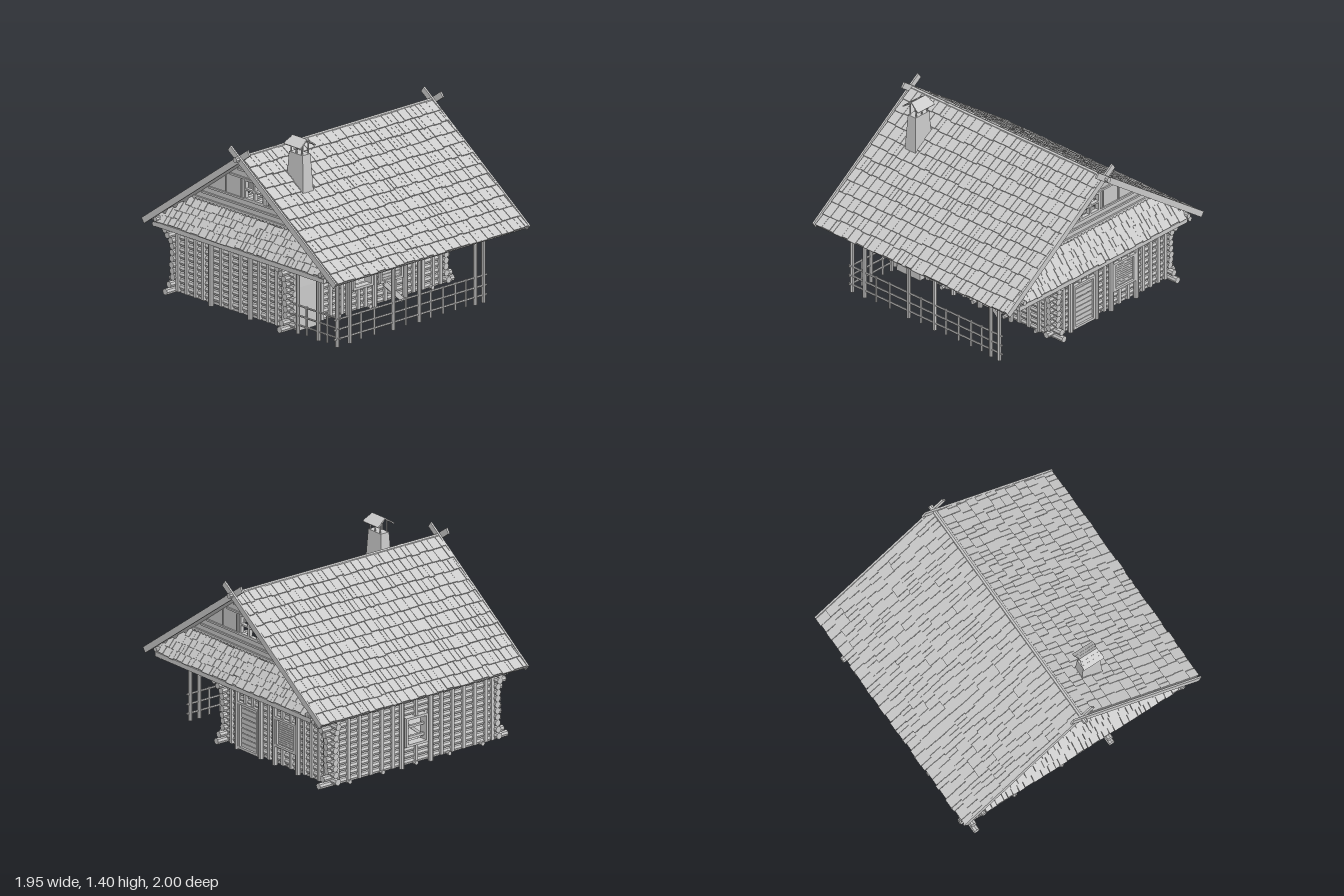
import * as THREE from 'three';
import { mergeGeometries } from 'three/addons/utils/BufferGeometryUtils.js';

const material = new THREE.MeshStandardMaterial({ color: 0xcccccc, flatShading: true, side: THREE.DoubleSide });
const V = (x, y, z) => new THREE.Vector3(x, y, z);
let seed = 7;
const rand = (a, b) => {
  seed = (seed * 16807) % 2147483647;
  return a + (b - a) * seed / 2147483647;
};

// Merge a list of geometries into one named mesh
function part(parent, name, geometries) {
  const list = geometries.map(g => (g.index ? g.toNonIndexed() : g));
  const mesh = new THREE.Mesh(mergeGeometries(list), material);
  mesh.name = name;
  parent.add(mesh);
  return mesh;
}
const box = (w, h, d, x, y, z) => new THREE.BoxGeometry(w, h, d).translate(x, y, z);
// Round pole between two points
function pole(a, b, r, sides = 8) {
  const d = b.clone().sub(a), len = d.length();
  const q = new THREE.Quaternion().setFromUnitVectors(V(0, 1, 0), d.normalize());
  return new THREE.CylinderGeometry(r, r, len, sides).translate(0, len / 2, 0).applyQuaternion(q).translate(a.x, a.y, a.z);
}
// Flat polygon in xy with thickness along z
function plate(points, depth, holes = []) {
  const s = new THREE.Shape(points.map(p => new THREE.Vector2(...p)));
  for (const [a, b, c, d] of holes) {
    s.holes.push(new THREE.Path([[a, c], [a, d], [b, d], [b, c]].map(p => new THREE.Vector2(...p))));
  }
  return new THREE.ExtrudeGeometry(s, { depth, bevelEnabled: false });
}

// Shingled slope facing local +z, its lower edge at (y, z), rising by "rise" over "run"
function shingledSlope(parent, name, { y, z, rise, run, rows, bottom, top, centre = 0 }) {
  const len = Math.hypot(rise, run), step = len / rows;
  const half = v => bottom + (top - bottom) * v / len;
  const geos = [plate([[-bottom, 0], [bottom, 0], [top, len], [-top, len]], 0.014).translate(centre, 0, -0.014)];
  for (let i = 0; i < rows; i++) {
    const v = i * step, edge = half(v + step * 0.5);
    for (let x = -edge; x < edge - 0.005;) {
      const w = Math.min(rand(0.03, 0.085), edge - x);
      const h = Math.min(step * 1.15, len - v) + rand(0, 0.012);
      geos.push(new THREE.BoxGeometry(w - 0.003, h, 0.009).translate(0, h / 2, 0)
        .rotateX(-0.08).translate(x + w / 2 + centre, v - rand(0, 0.012), 0.014 + rand(0, 0.003)));
      x += w;
    }
  }
  const m = part(parent, name, geos);
  m.position.set(0, y, z);
  m.rotation.x = -Math.atan2(run, rise);
}

// Log wall facing local +z; openings are [u0, u1, y0, y1]
function logWall(name, half, { lift, flare, openings, posts, battens }) {
  const g = new THREE.Group(), logs = [], uprights = [], frames = [];
  g.name = name;
  for (let y = 0.04 + lift; y < 0.56; y += 0.046) {
    const t = y / 0.55;
    const end = half + 0.045 + flare * (0.11 * Math.max(0, (t - 0.72) / 0.28) + 0.09 * Math.max(0, (0.22 - t) / 0.22)) + rand(0, 0.015);
    let spans = [[-end, end]];
    for (const [u0, u1, y0, y1] of openings) {
      if (y > y0 && y < y1) spans = spans.flatMap(([a, b]) => (u0 > a && u1 < b ? [[a, u0], [u1, b]] : [[a, b]]));
    }
    for (const [a, b] of spans) logs.push(pole(V(a, y, 0), V(b, y, 0), 0.0245));
  }
  for (const u of posts) uprights.push(pole(V(u, 0.01, 0.03), V(u, 0.55, 0.03), 0.02));
  for (const u of battens) {
    const cuts = openings.filter(o => u > o[0] && u < o[1]);
    let from = 0.03;
    for (const [, , y0, y1] of cuts) {
      if (y0 - from > 0.03) uprights.push(box(0.026, y0 - from, 0.03, u, (y0 + from) / 2, 0.022));
      from = y1;
    }
    uprights.push(box(0.026, 0.55 - from, 0.03, u, (0.55 + from) / 2, 0.022));
  }
  for (const [a, b, c, d] of openings) {
    for (const y of [c, d]) frames.push(box(b - a + 0.02, 0.018, 0.07, (a + b) / 2, y, 0.01));
    for (const u of [a, b]) frames.push(box(0.018, d - c, 0.07, u, (c + d) / 2, 0.01));
  }
  part(g, 'logs', logs);
  part(g, 'uprights', uprights);
  if (frames.length) part(g, 'openingFrames', frames);
  return g;
}
// Stacked horizontal slats filling an opening
const slats = ([a, b, c, d], n) => Array.from({ length: n }, (_, i) =>
  box(b - a - 0.01, (d - c) / n * 0.88, 0.025, (a + b) / 2, c + (i + 0.5) * (d - c) / n, 0.015).rotateZ(rand(-0.004, 0.004)));

export function createModel() {
  const cabin = new THREE.Group();
  cabin.name = 'logCabin';

  // Floor with joist ends
  part(cabin, 'floor', [
    ...Array.from({ length: 12 }, (_, i) => box(1.48, 0.02, 0.094, 0, 0.03, -0.8 + i * 0.0975)),
    box(1.47, 0.012, 1.15, 0, 0.038, -0.265),
    ...[-0.6, -0.3, 0, 0.3, 0.6].map(x => pole(V(x, 0.03, -0.89), V(x, 0.03, 0.36), 0.016)),
  ]);

  // Four log walls
  const window1 = [-0.15, 0.02, 0.19, 0.375], window2 = [0.11, 0.31, 0.18, 0.375];
  const front = logWall('frontWall', 0.73, { lift: 0, flare: 1, openings: [window1, window2],
    posts: [-0.2, 0.055, 0.35], battens: [-0.45, -0.37, -0.26, -0.1, -0.03, 0.16, 0.25, 0.43, 0.52, 0.62, 0.69] });
  front.position.z = 0.31;
  part(front, 'shutter', slats(window2, 8));
  const back = logWall('backWall', 0.73, { lift: 0, flare: 1, openings: [[-0.08, 0.1, 0.17, 0.37]],
    posts: [-0.12, 0.14], battens: [-0.7, -0.6, -0.5, -0.4, -0.3, -0.2, 0.01, 0.24, 0.34, 0.44, 0.54, 0.64, 0.7] });
  back.position.z = -0.84;
  back.rotation.y = Math.PI;
  part(back, 'windowBars', [box(0.16, 0.02, 0.02, 0.01, 0.22, 0.01), box(0.16, 0.016, 0.02, 0.01, 0.3, 0.01),
    box(0.02, 0.21, 0.015, 0, 0, 0).rotateZ(0.9).translate(0.01, 0.27, 0)]);
  const door = [-0.4, -0.2, 0.03, 0.365], sideWindow = [0.01, 0.215, 0.165, 0.37];
  const right = logWall('leftSideWall', 0.575, { lift: 0.023, flare: 0.4, openings: [door, sideWindow],
    posts: [-0.43, -0.17, -0.015, 0.24], battens: [-0.5, -0.34, -0.26, -0.08, 0.07, 0.16, 0.31, 0.39, 0.47, 0.54] });
  right.position.set(0.73, 0, -0.265);
  right.rotation.y = Math.PI / 2;
  part(right, 'door', slats(door, 9));
  part(right, 'shutter', slats(sideWindow, 13));
  const left = logWall('rightSideWall', 0.575, { lift: 0.023, flare: 0.4, openings: [],
    posts: [-0.2, 0.2], battens: [-0.54, -0.45, -0.36, -0.28, -0.1, 0, 0.1, 0.29, 0.38, 0.47, 0.54] });
  left.position.set(-0.73, 0, -0.265);
  left.rotation.y = -Math.PI / 2;
  cabin.add(front, back, right, left);

  // Main roof slopes
  for (const s of [1, -1]) {
    const slope = new THREE.Group();
    slope.rotation.y = s > 0 ? 0 : Math.PI;
    slope.name = s > 0 ? 'frontRoof' : 'backRoof';
    shingledSlope(slope, 'shingles', { y: 0.555, z: 0.98, rise: 0.7, run: 0.98, rows: 12, bottom: 0.925, top: 0.925, centre: s * 0.01 });
    cabin.add(slope);
  }
  part(cabin, 'ridgePole', [pole(V(-0.97, 1.25, 0), V(0.975, 1.25, 0), 0.02)]);
  part(cabin, 'eaveBeams', [
    pole(V(-0.92, 0.55, 0.81), V(0.93, 0.55, 0.81), 0.018),
    pole(V(-0.92, 0.55, -0.88), V(0.93, 0.55, -0.88), 0.018),
  ]);

  // Gable ends: boarded triangle, small skirt roof, trim and crossed bargeboards
  for (const s of [1, -1]) {
    const end = new THREE.Group();
    end.name = s > 0 ? 'leftGable' : 'rightGable';
    end.rotation.y = s * Math.PI / 2;
    end.position.x = s > 0 ? 0.01 : 0;
    const halfAt = y => (1.245 - y) * 1.4;
    part(end, 'gableWall', [plate([[-halfAt(0.74), 0.74], [halfAt(0.74), 0.74], [0, 1.24]], 0.02,
      [[-0.095, 0.095, 0.9, 1.04], [-0.042, 0.042, 1.14, 1.175]]).translate(0, 0, 0.75)]);
    part(end, 'gableBoards', [
      ...[0.84, 0.89, 1.045, 1.1].map(y => box(2 * halfAt(y + 0.02), 0.014, 0.012, 0, y, 0.775)),
      ...[-0.3, -0.14, 0.14, 0.3].map(x => box(0.008, 0.13, 0.012, x, 0.965, 0.773)),
    ]);
    part(end, 'gableWindow', [
      ...[-0.095, 0, 0.095].map(x => box(0.018, 0.15, 0.03, x, 0.97, 0.77)),
      ...[0.9, 0.97, 1.04].map(y => box(0.2, 0.013, 0.03, 0, y, 0.77)),
      box(0.014, 0.08, 0.03, 0, 1.16, 0.77),
    ]);
    shingledSlope(end, 'skirtRoof', { y: 0.575, z: 0.915, rise: 0.195, run: 0.15, rows: 4, bottom: 0.9, top: 0.63 });
    part(end, 'skirtBeam', [box(1.72, 0.035, 0.03, -0.01, 0.553, 0.905)]);
    const teeth = [[-0.63, 0.8]];
    for (let i = 0; i <= 70; i++) teeth.push([-0.63 + i * 0.018, i % 2 ? 0.772 : 0.786]);
    part(end, 'scallopedTrim', [plate([...teeth, [0.63, 0.8]], 0.012).translate(0, 0, 0.775)]);
    part(end, 'bargeboards', [1, -1].map(m => box(1.32, 0.045, 0.014, 0, 0, 0)
      .rotateZ(-m * Math.atan2(0.76, 1.075)).translate(m * 0.4475, 0.932, 0.926 + m * 0.007)));
    part(end, 'purlinEnds', [-0.84, 0.84].map(x => pole(V(x, 0.6, 0.7), V(x, 0.6, 0.945), 0.018)));
    cabin.add(end);
  }

  // Porch posts and railing along the front and one end
  const porch = new THREE.Group();
  porch.name = 'porch';
  const z = 0.8, x0 = -0.74, x1 = 0.67;
  part(porch, 'posts', [
    ...[x0, -0.62, -0.2, 0.05, 0.59, x1].map(x => pole(V(x, 0.015, z), V(x, 0.55, z), 0.016)),
    pole(V(x0, 0.015, 0.61), V(x0, 0.55, 0.61), 0.016),
    pole(V(x0, 0.015, 0.4), V(x0, 0.55, 0.4), 0.014),
  ]);
  part(porch, 'rails', [0.07, 0.14, 0.215].flatMap(y => [
    pole(V(x0 - 0.03, y, z), V(x1 + 0.03, y, z), 0.008, 6),
    pole(V(x0, y + 0.01, z + 0.03), V(x0, y + 0.01, 0.36), 0.008, 6),
  ]));
  part(porch, 'balusters', [
    ...[-0.51, -0.38, -0.08, 0.16, 0.28, 0.4, 0.5].map(x => pole(V(x, 0.02, z), V(x, 0.225, z), 0.009, 6)),
    ...[0.7, 0.49].map(v => pole(V(x0, 0.02, v), V(x0, 0.235, v), 0.009, 6)),
  ]);
  part(porch, 'topBeams', [x0, x1].flatMap(x => [
    pole(V(x, 0.52, 0.83), V(x, 0.52, 0.3), 0.012),
    pole(V(x, 0.47, 0.8), V(x, 0.47, 0.3), 0.007, 6)]));
  part(porch, 'leaningPlank', [box(0.24, 0.035, 0.012, 0, 0, 0).rotateZ(-0.75).translate(0.2, 0.1, 0.38)]);
  cabin.add(porch);

  // Chimney: stacked square sections given as [y, half width, half depth]
  const sections = [[0.02, 0.112, 0.105], [0.34, 0.11, 0.105], [0.43, 0.095, 0.1], [0.5, 0.065, 0.095], [1.0, 0.052, 0.088], [1.29, 0.037, 0.07]];
  const stack = [];
  for (let i = 0; i < sections.length - 1; i++) {
    const [ya, wa, da] = sections[i], [yb, wb, db] = sections[i + 1];
    const g = box(2, yb - ya, 2, 0, (ya + yb) / 2, 0), p = g.attributes.position;
    for (let k = 0; k < p.count; k++) {
      const low = p.getY(k) < (ya + yb) / 2;
      p.setX(k, p.getX(k) * (low ? wa : wb));
      p.setZ(k, p.getZ(k) * (low ? da : db));
    }
    stack.push(g);
  }
  const chimney = new THREE.Group();
  chimney.name = 'chimney';
  chimney.position.set(-0.6, 0, 0.27);
  part(chimney, 'stack', stack);
  part(chimney, 'capPosts', [-1, 1].flatMap(a => [-0.055, 0, 0.055].map(d => pole(V(a * 0.03, 1.28, d), V(a * 0.03, 1.375, d), 0.006, 6))));
  part(chimney, 'capRoof', [-1, 1].flatMap(a => [0, 1, 2].map(i =>
    box(0.036, 0.009, 0.15 + 0.01 * i, 0, 0, 0).rotateZ(-a * 0.62).translate(a * (0.012 + i * 0.023), 1.39 - i * 0.015, 0))));
  cabin.add(chimney);
  return cabin;
}
